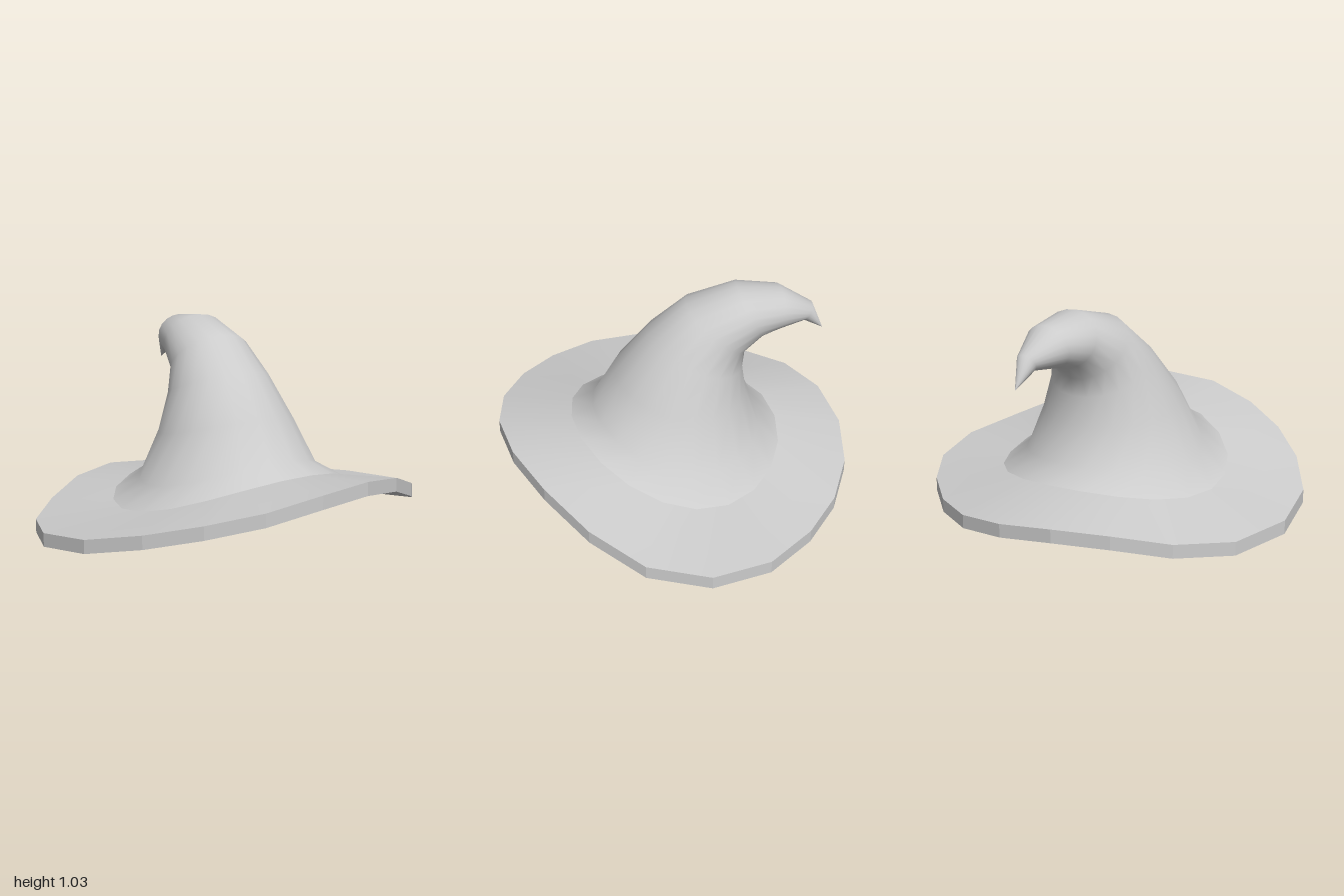
import * as THREE from 'three';

const SIDES = 20;
const material = new THREE.MeshStandardMaterial({ color: 0xcccccc, side: THREE.DoubleSide });

// Skins a list of closed rings; outward when rings run bottom to top
function loft(name, rings, mat = material) {
  const index = [];
  for (let i = 0; i < rings.length - 1; i++) {
    for (let j = 0; j < SIDES; j++) {
      const k = (j + 1) % SIDES;
      const a = i * SIDES + j, b = i * SIDES + k, c = a + SIDES, d = b + SIDES;
      index.push(a, b, d, a, d, c);
    }
  }
  const geometry = new THREE.BufferGeometry().setFromPoints(rings.flat());
  geometry.setIndex(index);
  geometry.computeVertexNormals();
  const mesh = new THREE.Mesh(geometry, mat);
  mesh.name = name;
  return mesh;
}

// One point per side, starting at the front and turning towards +x
function ring(pointAt) {
  return Array.from({ length: SIDES }, (_, j) => pointAt((j / SIDES) * Math.PI * 2, j));
}

// Tilted oval through a front and a back point; sag lowers its sides, twist skews it
function oval([zf, yf, zb, yb, width, sag = 0, twist = 0], scale = 1) {
  return ring((t) => {
    const s = Math.sin(t), c = Math.cos(t) * scale;
    return new THREE.Vector3(
      s * width * scale,
      (yf + yb) / 2 + (c * (yf - yb)) / 2 - sag * s * s + twist * Math.sin(2 * t),
      (zf + zb) / 2 + (c * (zf - zb)) / 2
    );
  });
}

export function createModel() {
  const hat = new THREE.Group();
  hat.name = 'pointedHat';

  // Wavy rim: underside height at each corner
  const rimHeights = [
    0.31, 0.325, 0.28, 0.18, 0.085, 0.04, 0.015, 0.005, 0, 0.02,
    0.06, 0.09, 0.08, 0.035, 0.015, 0.04, 0.08, 0.14, 0.2, 0.255,
  ];
  const rim = (lift) => ring((t, j) => {
    const r = 0.88 + 0.12 * Math.sin(t) ** 6;
    return new THREE.Vector3(Math.sin(t) * r, rimHeights[j] + lift, Math.cos(t) * r);
  });

  // Crown sections: front z, y, back z, y, half width, sag, twist
  const sections = [
    [0.52, 0.355, -0.53, 0.21, 0.59, 0.115, 0.02],
    [0.41, 0.41, -0.43, 0.29, 0.45, 0.085, 0.01],
    [0.3, 0.6, -0.36, 0.47, 0.345, 0.03],
    [0.13, 0.8, -0.34, 0.61, 0.26],
    [-0.06, 0.96, -0.35, 0.7, 0.205],
    [-0.31, 1.03, -0.43, 0.77, 0.17],
    [-0.53, 1.0, -0.5, 0.79, 0.13],
    [-0.69, 0.895, -0.64, 0.81, 0.055],
    [-0.75, 0.74, -0.75, 0.74, 0],
  ];
  const crown = sections.map((s) => oval(s));
  const opening = oval([0.45, 0.275, -0.46, 0.16, 0.46, 0.085, 0.015]);
  const lining = [opening, ...sections.slice(2).map((s) => oval(s, 0.93))];

  const edgeMaterial = material.clone();
  edgeMaterial.flatShading = true;

  hat.add(
    loft('crown', crown),
    loft('brimTop', [rim(0.068), crown[0]]),
    loft('brimEdge', [rim(0), rim(0.068)], edgeMaterial),
    loft('brimUnderside', [opening, rim(0)]),
    loft('crownLining', lining.reverse())
  );
  return hat;
}
